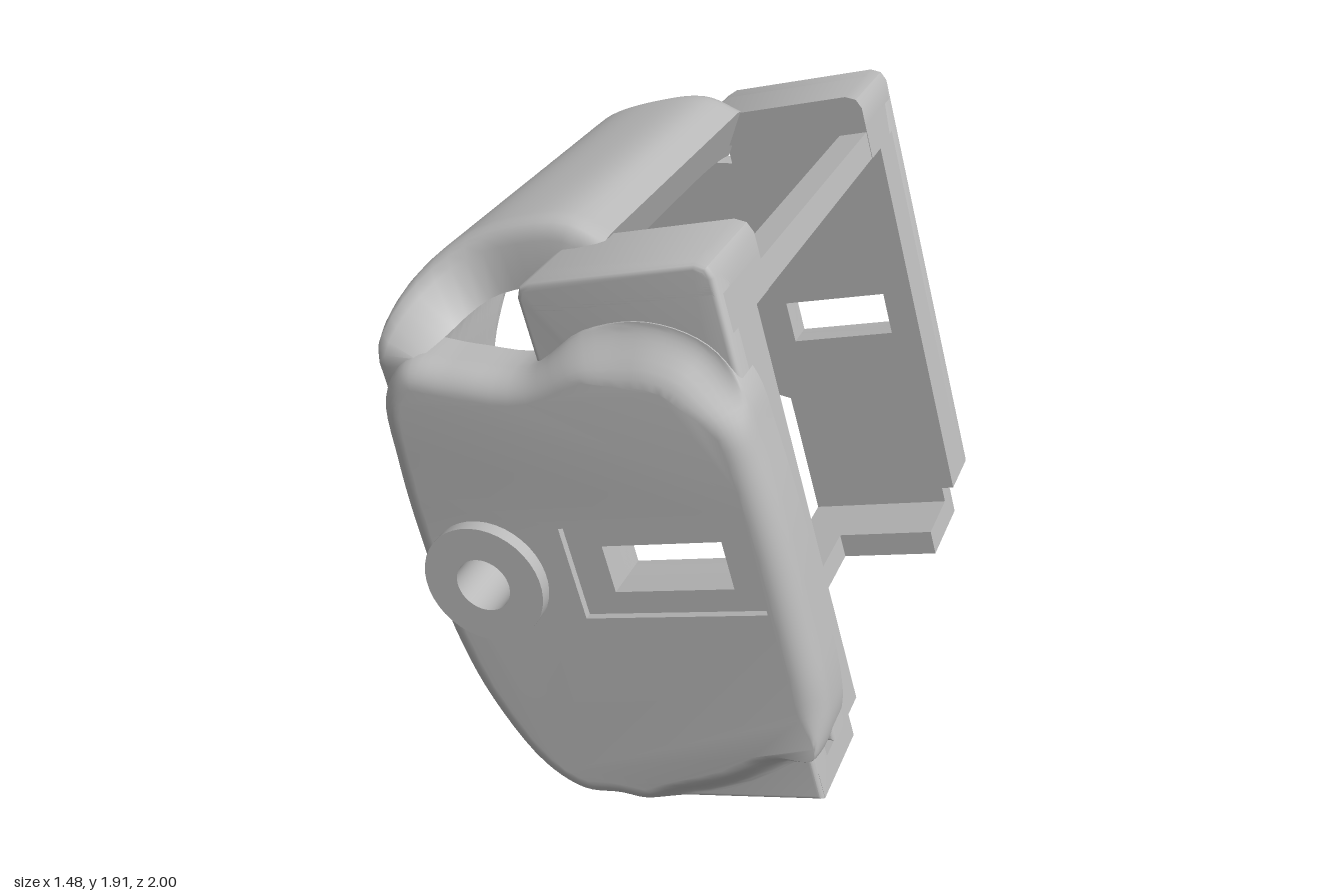
import * as THREE from 'three';
import { mergeGeometries, toCreasedNormals } from 'three/addons/utils/BufferGeometryUtils.js';

const TILT = Math.PI / 12;
const MID = -0.055; // mirror plane of the case along z
const V2 = (x, y) => new THREE.Vector2(x, y);
// case coordinates (u across, v up) to model coordinates
const L = (u, v) => V2(u, v).rotateAround(V2(0, 0), TILT);
const rect = (u0, u1, v0, v1) => [L(u0, v0), L(u1, v0), L(u1, v1), L(u0, v1)];
const circle = (x, y, r, n = 40) => Array.from({ length: n }, (_, i) => {
  const a = (i / n) * Math.PI * 2;
  return V2(x + r * Math.cos(a), y + r * Math.sin(a));
});
const spline = (pts, closed, n) => {
  const c = new THREE.CatmullRomCurve3(pts.map(([x, y]) => new THREE.Vector3(x, y, 0)), closed);
  const out = c.getPoints(n).map(p => V2(p.x, p.y));
  if (closed) out.pop();
  return out;
};
const withHoles = (outline, holes) => {
  const shape = new THREE.Shape(outline);
  holes.forEach(h => shape.holes.push(new THREE.Path(h)));
  return shape;
};
const { smoothstep: smooth, lerp } = THREE.MathUtils;
const surface = (pos, idx) => {
  const g = new THREE.BufferGeometry();
  g.setAttribute('position', new THREE.Float32BufferAttribute(pos, 3));
  g.setIndex(idx);
  return g;
};

// Cushion with a flat back at z0, a soft edge up to z1 and open holes.
// inset(p) is the edge width, blend(p) turns a round edge into a flowing S-shaped one.
function cushion(outline, holes, z0, z1, soft, inset, blend) {
  const n = outline.length, steps = 10, pos = [], idx = [];
  const front = [];
  outline.forEach(p => pos.push(p.x, p.y, z0));
  for (let k = 0; k <= steps; k++) {
    const a = (k / steps) * Math.PI / 2, s = 1 - Math.cos(a);
    outline.forEach((p, i) => {
      const d = outline[(i + 1) % n].clone().sub(outline[(i + n - 1) % n]).normalize();
      const q = V2(-d.y, d.x).multiplyScalar(inset(p) * s).add(p);
      pos.push(q.x, q.y, z1 - soft + soft * lerp(Math.sin(a), smooth(s, 0, 1), blend(p)));
      if (k === steps) front.push(q);
    });
  }
  for (let k = 0; k <= steps; k++) {
    for (let i = 0; i < n; i++) {
      const a = k * n + i, b = k * n + (i + 1) % n;
      idx.push(a, b, a + n, b, b + n, a + n);
    }
  }
  const lid = new THREE.ShapeGeometry(withHoles(front, holes)).translate(0, 0, z1);
  const back = new THREE.ShapeGeometry(withHoles(outline, holes)).translate(0, 0, z0);
  back.index.array.reverse();
  const parts = [surface(pos, idx), lid, back].map(g => {
    g.deleteAttribute('normal');
    g.deleteAttribute('uv');
    return g.toNonIndexed();
  });
  return toCreasedNormals(mergeGeometries(parts), 0.7);
}

export function createModel() {
  const model = new THREE.Group();
  model.name = 'cameraGripCase';
  const grey = new THREE.MeshStandardMaterial({ color: 0xbababa });
  grey.name = 'matteGrey';

  const add = (name, geo, parent = model) => {
    const m = new THREE.Mesh(geo, grey);
    m.name = name;
    parent.add(m);
    return m;
  };

  // Plate with a rounded edge on one side only (dir 1: +z side, -1: -z side)
  const plate = (name, outline, holes, z0, z1, bevel = 0, dir = 1) => {
    const depth = z1 - z0 - bevel;
    const geo = new THREE.ExtrudeGeometry(withHoles(outline, holes), {
      depth, bevelEnabled: bevel > 0, bevelThickness: bevel, bevelSize: bevel * 0.9,
      bevelOffset: -bevel * 0.9, bevelSegments: 4,
    });
    const p = geo.attributes.position;
    for (let i = 0; i < p.count; i++) {
      p.setZ(i, dir > 0 ? Math.max(0, p.getZ(i)) : Math.min(depth, p.getZ(i)));
    }
    geo.translate(0, 0, dir > 0 ? z0 : z0 + bevel);
    return add(name, toCreasedNormals(geo, 0.6));
  };

  // Tilted case parts
  const frame = new THREE.Group();
  frame.name = 'caseFrame';
  frame.rotation.z = TILT;
  model.add(frame);
  const box = (name, u0, u1, v0, v1, z0, z1) =>
    add(name, new THREE.BoxGeometry(u1 - u0, v1 - v0, z1 - z0), frame)
      .position.set((u0 + u1) / 2, (v0 + v1) / 2, (z0 + z1) / 2);

  box('bottomRail', 0.198, 0.365, -0.035, 0.06, -0.64, 0.53);
  box('topRail', 0.72, 0.818, 1.55, 1.645, -0.64, 0.53);

  const windowHole = rect(0.277, 0.667, 0.793, 0.953);
  const windowRim = rect(0.165, 0.762, 0.717, 1.033);
  const windowEdge = rect(0.158, 0.768, 0.711, 1.039);
  const crown = [[0.82, 1.73], [0.805, 1.762], [0.77, 1.777], [0.25, 1.777], [0.215, 1.762], [0.2, 1.73]];
  const column = [[0.2, -0.035], [0.731, -0.035], [0.731, 0.19], [0.82, 0.19], ...crown].map(p => L(...p));
  const cap = [[0.2, 1.665], [0.82, 1.665], ...crown].map(p => L(...p));

  for (const dir of [1, -1]) {
    const side = dir > 0 ? 'front' : 'back';
    const span = (a, b) => dir > 0 ? [a, b] : [2 * MID - b, 2 * MID - a];
    plate(side + 'CasePanel', column, [windowHole], ...span(0.75, 0.855), 0.02, dir);
    plate(side + 'TopCap', cap, [], ...span(0.515, 0.855), 0.02, dir);
    box(side + 'CapLip', 0.72, 0.82, 1.55, 1.67, ...span(0.515, 0.82));
    box(side + 'Foot', 0.2, 0.731, -0.035, 0.06, ...span(0.515, 0.84));
    box(side + 'EdgeRim', 0.735, 0.82, 0.19, 1.56, ...span(0.62, 0.78));
  }

  // Sculpted front body with a sunken window frame and a pivot boss
  const PX = -0.347, PY = 0.81;
  const body = spline([[0.2, 0.03], [0.44, 0.14], [0.62, 0.29], [0.71, 0.38], [0.732, 0.47], [0.72, 0.6],
    [0.66, 0.85], [0.58, 1.15], [0.5, 1.4], [0.44, 1.56], [0.33, 1.68], [0.15, 1.72], [-0.05, 1.66],
    [-0.22, 1.52], [-0.45, 1.5], [-0.61, 1.49], [-0.69, 1.36], [-0.67, 1.15], [-0.62, 0.9],
    [-0.52, 0.55], [-0.4, 0.3], [-0.22, 0.08], [-0.07, 0.01], [0.07, 0.03]], true, 120);
  const atTop = p => smooth(p.y, 1.42, 1.66) * smooth(p.x, -0.25, 0.1);
  const atFoot = p => smooth(p.x, 0.1, 0.3) * (1 - smooth(p.y, 0.3, 0.45));
  const edgeWidth = p => (0.08 + 0.08 * atTop(p) + 0.04 * atFoot(p))
    * smooth(p.distanceTo(V2(0.72, 0.39)), -0.05, 0.2);
  add('frontBody', cushion(body, [windowEdge, circle(PX, PY, 0.12)],
    0.75, 0.955, 0.095, edgeWidth, p => Math.max(atTop(p), atFoot(p))));
  plate('frontWindowSurround', windowEdge, [windowRim], 0.75, 0.955);
  plate('frontWindowFrame', windowRim, [windowHole], 0.75, 0.93);
  plate('frontPivotBoss', circle(PX, PY, 0.2), [circle(PX, PY, 0.09)], 0.75, 1.0);

  // Back wing carrying the large pivot ring with two screw holes
  const wing = spline([L(0.24, 0.55).toArray(), [-0.12, 0.6], [-0.35, 0.54], [-0.56, 0.65], [-0.63, 0.9],
    [-0.67, 1.15], [-0.69, 1.35], [-0.62, 1.48], [-0.45, 1.5], [-0.27, 1.52],
    L(0.24, 1.5).toArray(), L(0.24, 1.2).toArray(), L(0.24, 0.85).toArray()], true, 80);
  const screws = [-1, 1].map(s =>
    circle(PX + s * 0.19 * Math.cos(TILT), PY + s * 0.19 * Math.sin(TILT), 0.032, 20));
  const ringHoles = [circle(PX, PY, 0.1), ...screws];
  plate('backWing', wing, ringHoles, -0.965, -0.87, 0.02, -1);
  plate('backPivotRing', circle(PX, PY, 0.305, 56), ringHoles, -1.0, -0.875);
  plate('backWindowFrame', windowRim, [windowHole], -0.975, -0.88);

  // Hand strap: side profile swept from back to front, cut off below by an arch
  const profile = new THREE.CatmullRomCurve3([[-0.09, 1.825], [-0.22, 1.865], [-0.4, 1.83], [-0.58, 1.75],
    [-0.7, 1.63], [-0.74, 1.5], [-0.71, 1.35], [-0.68, 1.15], [-0.62, 0.9], [-0.52, 0.55], [-0.4, 0.3],
    [-0.25, 0.12], [-0.12, 0.05]].map(([x, y]) => new THREE.Vector3(x, y, 0)));
  const arch = spline([[-0.95, 0.92], [-0.73, 1.03], [-0.6, 1.15], [-0.3, 1.33], [0, 1.42], [0.2, 1.38],
    [0.31, 1.28], [0.37, 1.1], [0.405, 0.85], [0.46, 0.6], [0.6, 0.38], [0.72, 0.23], [0.8, 0.12],
    [0.9, 0.08]], false, 60);
  const N = 36, pos = [], idx = [];
  for (const { x: z, y: cut } of arch) {
    let lo = 0.15, hi = 1;
    for (let k = 0; k < 24; k++) {
      const m = (lo + hi) / 2;
      if (profile.getPoint(m).y > cut) lo = m; else hi = m;
    }
    const end = Math.abs(z + 0.03) / 0.93;
    const q = Math.min(1, Math.max(0, (end - 0.87) / 0.13));
    const round = 0.06 * (1 - Math.sqrt(1 - q * q));
    const outer = [], inner = [];
    for (let i = 0; i <= N; i++) {
      const p = profile.getPoint(lo * i / N), t = profile.getTangent(lo * i / N);
      const high = smooth(p.y, 1.45, 1.82);
      const thick = (0.09 + smooth(p.y, 1.2, 1.65) * (0.065 + 0.045 * end ** 4)) * (i === N ? 0.75 : 1);
      const zz = -0.04 + (z + 0.04) * (1 - 0.31 * high);
      outer.push([p.x - t.y * round, p.y + t.x * round, zz]);
      inner.unshift([p.x - t.y * thick, p.y + t.x * thick, zz]);
    }
    pos.push(...[...outer, ...inner].flat());
  }
  const R = 2 * (N + 1), rows = arch.length;
  for (let r = 0; r < rows - 1; r++) {
    for (let i = 0; i < R; i++) {
      const a = r * R + i, b = r * R + (i + 1) % R;
      idx.push(a, b, a + R, b, b + R, a + R);
    }
  }
  // strap end faces
  for (let i = 0; i < N; i++) {
    const a = i, b = i + 1, c = R - 2 - i, d = R - 1 - i, e = (rows - 1) * R;
    idx.push(a, c, b, a, d, c, e + a, e + b, e + c, e + a, e + c, e + d);
  }
  add('handStrap', toCreasedNormals(surface(pos, idx), 0.8));

  return model;
}
